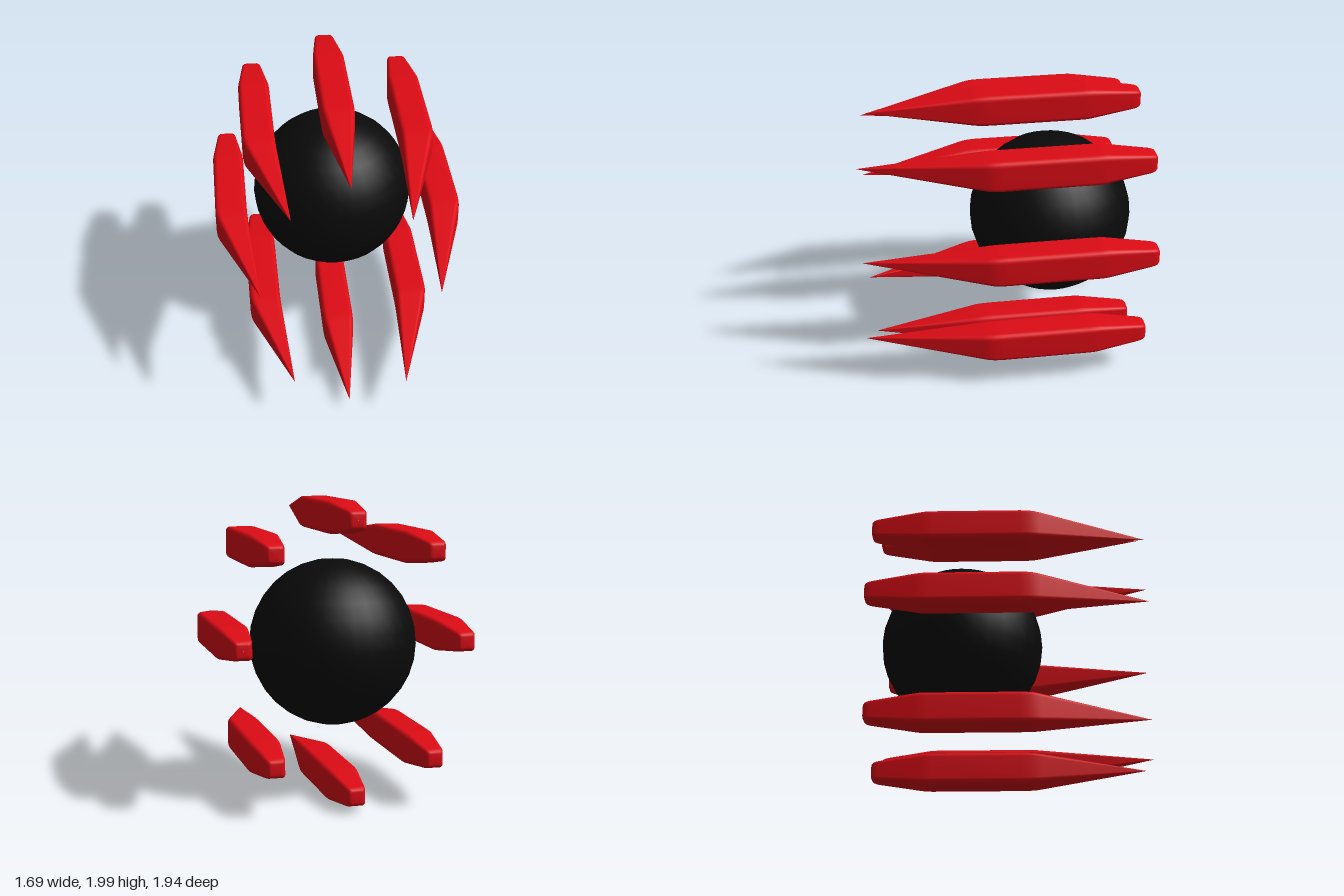
import * as THREE from 'three';

// Rounded-square outline of half width 1, counter-clockwise
function roundedSquare(radius = 0.3, steps = 4) {
  const pts = [];
  for (let c = 0; c < 4; c++) {
    const mid = Math.PI / 4 + c * Math.PI / 2;
    const cx = Math.sign(Math.cos(mid)) * (1 - radius);
    const cy = Math.sign(Math.sin(mid)) * (1 - radius);
    for (let s = 0; s <= steps; s++) {
      const a = (c + s / steps) * Math.PI / 2;
      pts.push([cx + radius * Math.cos(a), cy + radius * Math.sin(a)]);
    }
  }
  return pts;
}

// Spike lofted from back to front; its tip leans sideways by tipX
function spikeGeometry(tipX, tipZ) {
  const rings = [ // z, half width, share of the lean
    [-0.97, 0.0005, 0], [-0.97, 0.035, 0], [-0.967, 0.047, 0], [-0.957, 0.057, 0],
    [-0.94, 0.063, 0], [-0.92, 0.067, 0], [-0.63, 0.104, 0], [-0.6, 0.107, 0],
    [-0.56, 0.108, 0], [0.05, 0.108, 0], [0.1, 0.107, 0.01], [0.14, 0.105, 0.035],
    [0.18, 0.1, 0.075], [tipZ - 0.02, 0.003, 0.975], [tipZ, 0.0003, 1],
  ];
  const outline = roundedSquare();
  const n = outline.length;
  const pos = [], idx = [];
  rings.forEach(([z, h, lean], i) => {
    outline.forEach(([x, y], j) => {
      pos.push(x * h + tipX * lean, y * h, z);
      if (i === rings.length - 1) return;
      const a = i * n + j, b = i * n + (j + 1) % n;
      idx.push(a, b, b + n, a, b + n, a + n);
    });
  });
  const geo = new THREE.BufferGeometry();
  geo.setAttribute('position', new THREE.Float32BufferAttribute(pos, 3));
  geo.setIndex(idx);
  geo.computeVertexNormals();
  return geo;
}

export function createModel() {
  const group = new THREE.Group();
  const red = new THREE.MeshStandardMaterial({ color: 0xdd0b15 });
  const black = new THREE.MeshStandardMaterial({ color: 0x0a0a0a });

  // Central ball
  const ball = new THREE.Mesh(new THREE.SphereGeometry(0.562, 32, 16), black);
  ball.name = 'centralBall';
  ball.position.set(0, 1.042, -0.37);
  group.add(ball);

  function addSpike(name, x, y, tipX, tipZ) {
    const spike = new THREE.Mesh(spikeGeometry(tipX, tipZ), red);
    spike.name = name;
    spike.position.set(x, y, 0);
    group.add(spike);
  }

  // Straight spikes above and below
  addSpike('topSpike', 0, 1.892, 0, 0.885);
  addSpike('bottomSpike', 0, 0.116, 0, 0.885);

  // Side spikes, tips leaning inward; the left ones are slightly longer
  for (const [side, s, tipZ] of [['left', 1, 0.97], ['right', -1, 0.905]]) {
    addSpike(side + 'UpperSpike', s * 0.528, 1.688, -s * 0.153, tipZ);
    addSpike(side + 'MiddleSpike', s * 0.735, 1.098, -s * 0.153, tipZ);
    addSpike(side + 'LowerSpike', s * 0.528, 0.335, -s * 0.153, tipZ);
  }
  return group;
}
